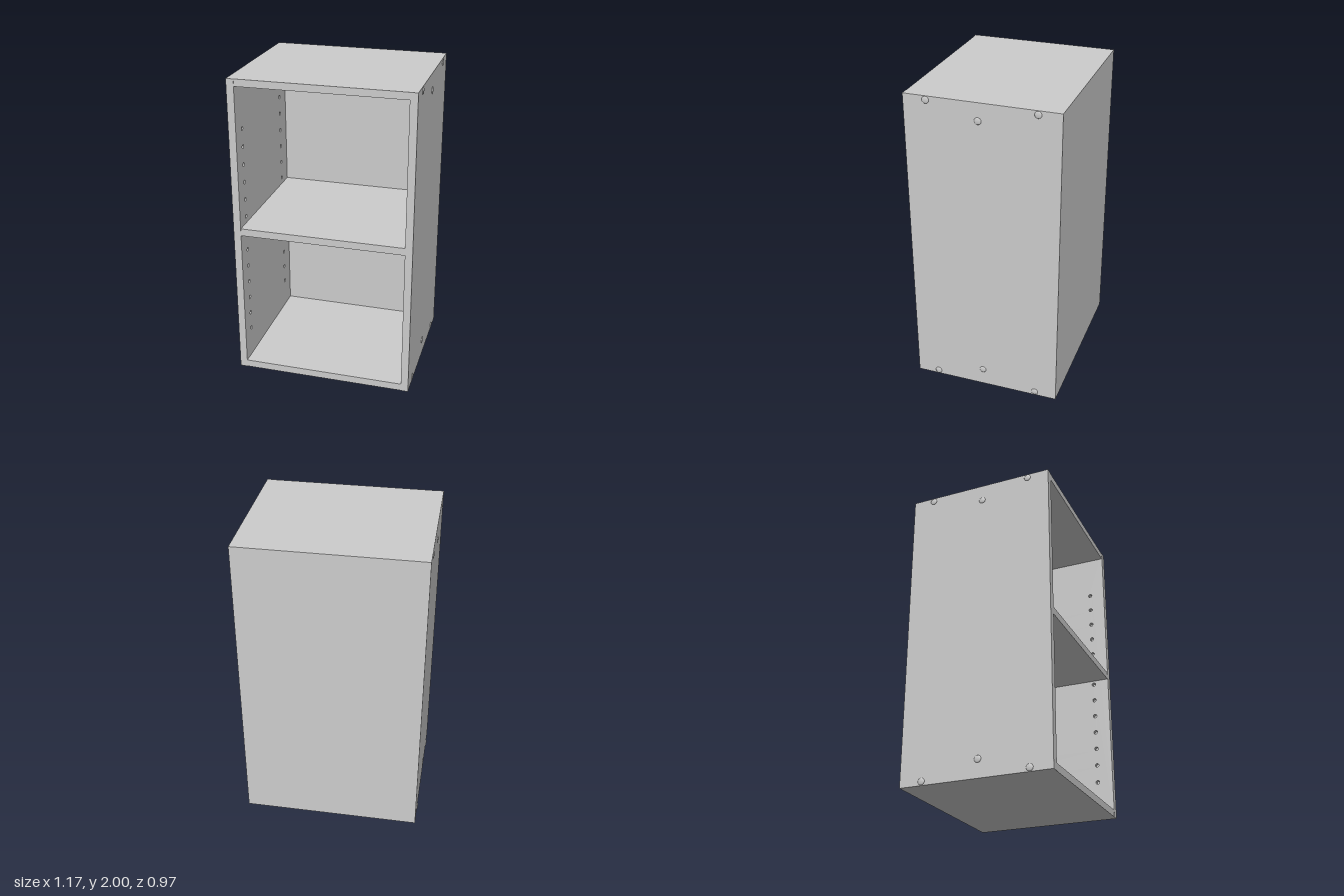
import * as THREE from 'three';

const OUT = 0.578, IN = 0.53;          // outer and inner half widths
const BACK = -0.483, FRONT = 0.483;    // depth limits
const BACK_IN = -0.437;                // inner face of the back panel
const HOLE_DEPTH = 0.025;

export function createModel() {
  const group = new THREE.Group();
  const grey = new THREE.MeshStandardMaterial({ color: 0xcccccc });
  grey.name = 'plain grey';

  const add = (name, geometry) => {
    const mesh = new THREE.Mesh(geometry, grey);
    mesh.name = name;
    group.add(mesh);
    return mesh;
  };
  const board = (name, x0, x1, y0, y1, z0, z1) => {
    const mesh = add(name, new THREE.BoxGeometry(x1 - x0, y1 - y0, z1 - z0));
    mesh.position.set((x0 + x1) / 2, (y0 + y1) / 2, (z0 + z1) / 2);
  };

  // Horizontal boards and back panel, fitted between the sides
  board('bottomBoard', -IN, IN, 0, 0.048, BACK_IN, FRONT - 0.002);
  board('middleShelf', -IN, IN, 0.979, 1.027, BACK_IN, FRONT - 0.002);
  board('topBoard', -IN, IN, 1.954, 2, BACK_IN, FRONT - 0.002);
  board('backPanel', -IN, IN, 0, 2, BACK, BACK_IN);

  // Inner layer of a side, drilled with two columns of shelf pin holes
  const drilled = new THREE.Shape();
  drilled.moveTo(BACK, 0).lineTo(FRONT, 0).lineTo(FRONT, 2).lineTo(BACK, 2).closePath();
  for (const z of [-0.32, 0.38]) {
    for (let i = 0; i < 13; i++) {
      const hole = new THREE.Path();
      hole.absarc(z, 0.245 + i * 0.118, 0.013, 0, Math.PI * 2, true);
      drilled.holes.push(hole);
    }
  }
  const innerLayer = new THREE.ExtrudeGeometry(drilled, {
    depth: HOLE_DEPTH, bevelEnabled: false, curveSegments: 6,
  });
  innerLayer.rotateY(-Math.PI / 2); // drawn (z, y) outline, extruded toward -x

  // Shallow domed screw cap, axis along +x
  const capProfile = [[0.022, -0.004], [0.022, 0.001], [0.018, 0.0035], [0.01, 0.005], [0, 0.0055]]
    .map(([r, h]) => new THREE.Vector2(r, h));
  const cap = new THREE.LatheGeometry(capProfile, 20).rotateZ(-Math.PI / 2);
  const capSpots = [
    [0.025, -0.34], [0.025, 0.34], [0.115, 0.02],
    [1.975, -0.34], [1.975, 0.34], [1.888, 0.02],
  ];

  for (const [side, s] of [['left', 1], ['right', -1]]) {
    const a = s * (IN + HOLE_DEPTH), b = s * OUT;
    board(side + 'SideOuter', Math.min(a, b), Math.max(a, b), 0, 2, BACK, FRONT);
    const inner = add(side + 'SideInner', innerLayer);
    inner.position.x = s > 0 ? IN + HOLE_DEPTH : -IN;
    for (const [y, z] of capSpots) {
      const mesh = add(side + 'ScrewCap', cap);
      mesh.position.set(s * OUT, y, z);
      if (s < 0) mesh.rotation.y = Math.PI;
    }
  }
  return group;
}
